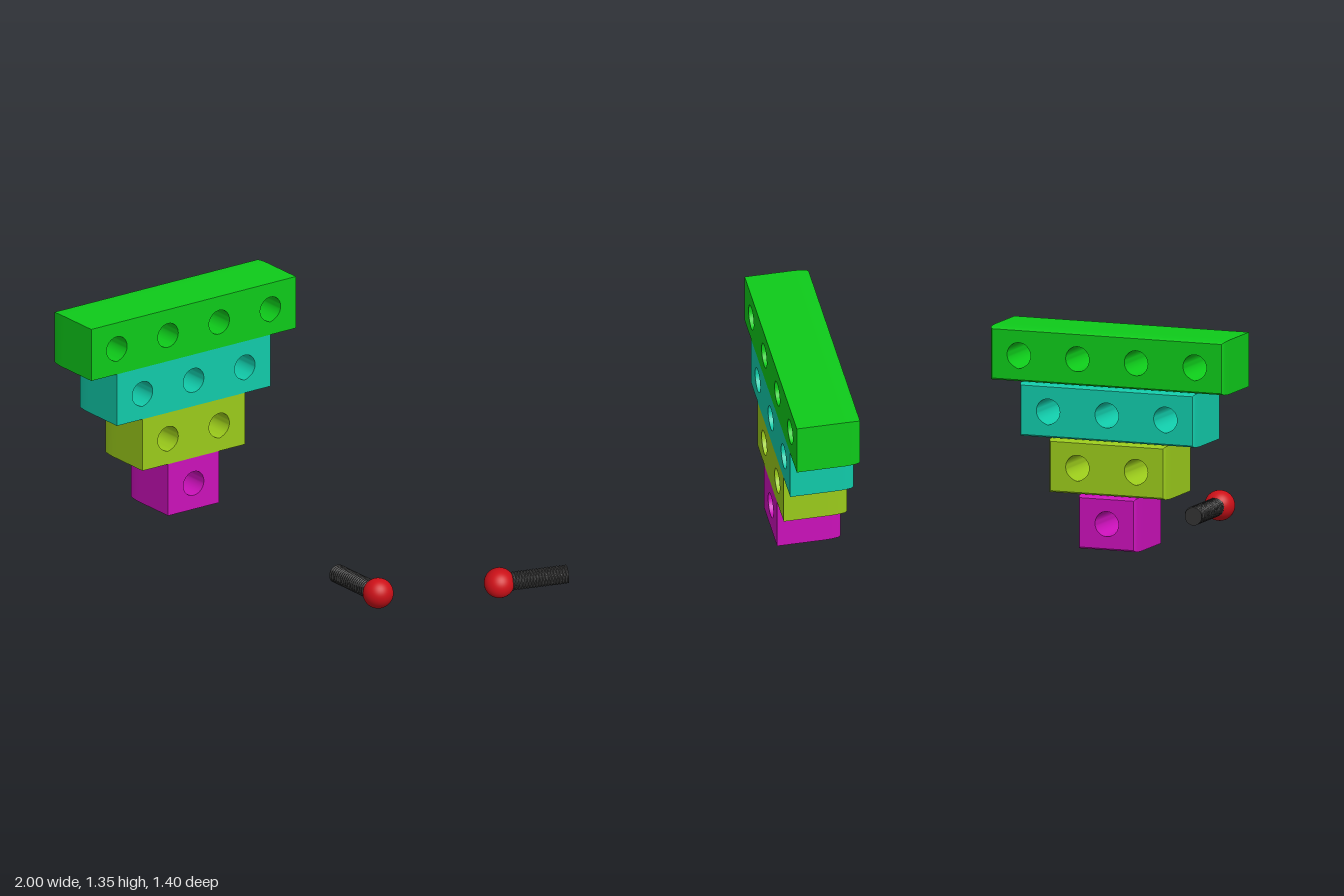
import * as THREE from 'three';
import { toCreasedNormals } from 'three/addons/utils/BufferGeometryUtils.js';

const CELL = 0.35, ROW = 0.3035, DEPTH = 0.36, HOLE = 0.07, BASE = 0.14;

function addMesh(parent, name, geometry, color) {
  const mesh = new THREE.Mesh(geometry, new THREE.MeshStandardMaterial({ color }));
  mesh.name = name;
  parent.add(mesh);
  return mesh;
}

// Beam of `count` cells with one cross hole per cell; its outer end is softly rounded
function beamGeometry(count) {
  const w = count * CELL / 2, h = ROW / 2;
  const shape = new THREE.Shape([
    new THREE.Vector2(-w, -h), new THREE.Vector2(w, -h),
    new THREE.Vector2(w, h), new THREE.Vector2(-w, h),
  ]);
  for (let i = 0; i < count; i++) {
    const cx = (i - (count - 1) / 2) * CELL;
    const outer = count > 1 && (i === 0 || i === count - 1);
    const points = [];
    for (let k = 0; k < 48; k++) {
      const a = -k / 48 * Math.PI * 2;
      // the outermost holes are slightly pointed at the bottom
      const tip = outer ? 0.006 * Math.max(0, 1 - Math.abs(a + Math.PI * 0.5) / 0.5) : 0;
      points.push(new THREE.Vector2(cx + Math.cos(a) * HOLE, Math.sin(a) * (HOLE + tip)));
    }
    shape.holes.push(new THREE.Path(points));
  }
  const geometry = new THREE.ExtrudeGeometry(shape, { depth: 1, steps: 12, bevelEnabled: false });
  const p = geometry.attributes.position;
  for (let i = 0; i < p.count; i++) {
    const x = p.getX(i), y = p.getY(i);
    const t = Math.pow(1 - p.getZ(i), 2) * DEPTH; // distance from the rounded end
    p.setZ(i, DEPTH - t);
    if (Math.abs(x) > w - 1e-4 && Math.abs(y) > h - 1e-4) {
      const inset = 0.006 * Math.pow(Math.max(0, 1 - t / 0.09), 2)
        + 0.008 * Math.pow(Math.max(0, 1 - t / 0.012), 2);
      p.setXY(i, x - Math.sign(x) * inset, y - Math.sign(y) * inset);
    }
  }
  geometry.rotateY(-Math.PI / 2);
  return toCreasedNormals(geometry, 0.6);
}

// Shaft along x whose radius follows a helical ridge
function threadGeometry(length, pitch) {
  const geometry = new THREE.CylinderGeometry(1, 1, length, 36, 130);
  const p = geometry.attributes.position;
  for (let i = 0; i < p.count; i++) {
    const x = p.getX(i), y = p.getY(i), z = p.getZ(i);
    const turn = y / pitch - Math.atan2(z, x) / (Math.PI * 2) + 100;
    const ridge = Math.min(1, 2.6 * Math.abs((turn % 1) - 0.5));
    const r = 0.046 + 0.007 * ridge;
    p.setXYZ(i, x * r, y, z * r);
  }
  geometry.rotateZ(-Math.PI / 2);
  return toCreasedNormals(geometry, 0.7);
}

export function createModel() {
  const model = new THREE.Group();
  model.name = 'steppedPegBlock';

  // Inverted staircase of drilled beams
  const blocks = new THREE.Group();
  blocks.name = 'beamStack';
  model.add(blocks);
  const colors = [0xcb11ba, 0x9bcb1b, 0x11cbaa, 0x0ecb1a];
  colors.forEach((color, i) => {
    const beam = addMesh(blocks, `beam${i + 1}`, beamGeometry(i + 1), color);
    beam.position.set(-0.64, BASE + ROW * (i + 0.5), 0);
  });

  // Loose threaded peg with a ball knob
  const peg = new THREE.Group();
  peg.name = 'peg';
  peg.position.set(0.914, 0.09, -0.12);
  model.add(peg);
  addMesh(peg, 'threadedShaft', threadGeometry(0.36, 0.0165), 0x333333).position.x = -0.204;
  addMesh(peg, 'knob', new THREE.SphereGeometry(0.085, 40, 24), 0xcc1018);

  return model;
}
